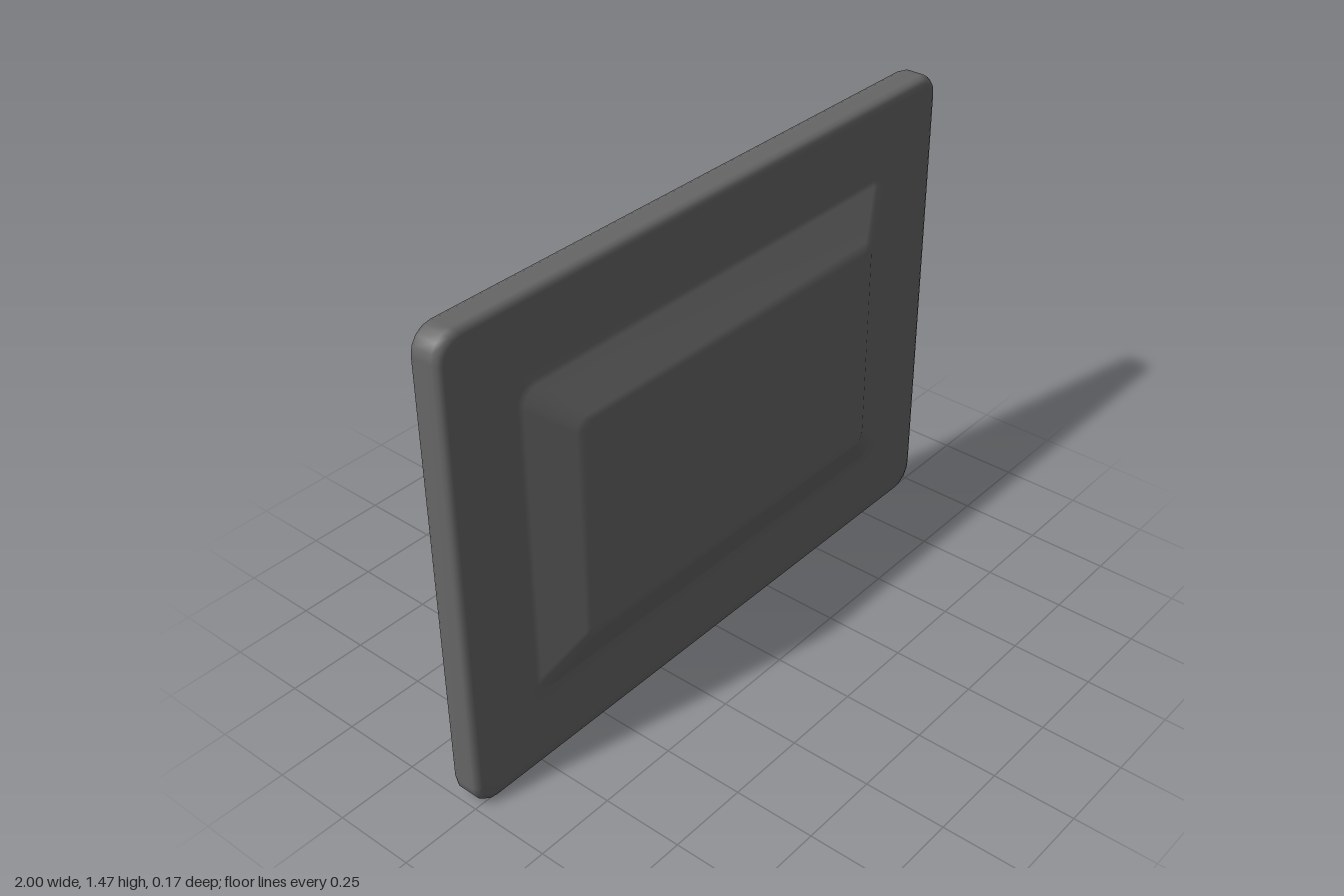
import * as THREE from 'three';

const MID_Y = 0.735;
const CORNER_STEPS = 4;

// Rounded rectangle outline, counter-clockwise seen from +z
function ring(halfW, halfH, radius, z) {
  const points = [];
  const signs = [[1, 1], [-1, 1], [-1, -1], [1, -1]];
  signs.forEach(([sx, sy], corner) => {
    for (let i = 0; i <= CORNER_STEPS; i++) {
      const a = (corner + i / CORNER_STEPS) * Math.PI / 2;
      points.push([
        sx * (halfW - radius) + Math.cos(a) * radius,
        MID_Y + sy * (halfH - radius) + Math.sin(a) * radius,
        z,
      ]);
    }
  });
  return points;
}

function makeGeometry(points, index) {
  const geometry = new THREE.BufferGeometry();
  geometry.setAttribute('position', new THREE.Float32BufferAttribute(points.flat(), 3));
  geometry.setIndex(index);
  geometry.computeVertexNormals();
  return geometry;
}

// Skin over successive outlines
function loft(rings) {
  const n = rings[0].length;
  const index = [];
  for (let k = 0; k < rings.length - 1; k++) {
    for (let i = 0; i < n; i++) {
      const j = (i + 1) % n;
      const a = k * n + i, b = (k + 1) * n + i;
      const c = (k + 1) * n + j, d = k * n + j;
      index.push(a, b, c, a, c, d);
    }
  }
  return makeGeometry(rings.flat(), index);
}

// Flat fill of one outline, facing +z or -z
function fill(outline, facing) {
  const n = outline.length;
  const index = [];
  for (let i = 0; i < n; i++) {
    const j = (i + 1) % n;
    if (facing > 0) index.push(n, i, j);
    else index.push(n, j, i);
  }
  return makeGeometry([...outline, [0, MID_Y, outline[0][2]]], index);
}

export function createModel() {
  const casing = new THREE.MeshStandardMaterial({ color: 0x666666 });
  casing.name = 'dark grey casing';
  const glass = new THREE.MeshStandardMaterial({ color: 0x7fb5bc });
  glass.name = 'pale teal screen';

  const group = new THREE.Group();
  group.name = 'flatScreenPanel';
  const add = (name, geometry, material) => {
    const mesh = new THREE.Mesh(geometry, material);
    mesh.name = name;
    group.add(mesh);
  };

  const plateau = ring(0.61, 0.34, 0.03, 0.083);
  const screenEdge = ring(0.85, 0.59, 0.06, -0.06);

  // Raised housing, rounded slab edge and screen recess as one smooth skin
  add('casing', loft([
    ring(0.59, 0.32, 0.02, 0.083),
    plateau,
    ring(0.625, 0.355, 0.035, 0.076),
    ring(0.745, 0.475, 0.05, 0.021),
    ring(0.76, 0.49, 0.055, 0.015),
    ring(0.79, 0.52, 0.06, 0.015),
    ring(0.96, 0.695, 0.05, 0.015),
    ring(0.98, 0.715, 0.06, 0.015),
    ring(0.994, 0.729, 0.068, 0.009),
    ring(1, 0.735, 0.07, -0.005),
    ring(1, 0.735, 0.07, -0.063),
    ring(0.994, 0.729, 0.068, -0.077),
    ring(0.98, 0.715, 0.06, -0.083),
    ring(0.96, 0.695, 0.05, -0.083),
    ring(0.89, 0.63, 0.08, -0.083),
    ring(0.875, 0.615, 0.075, -0.083),
    ring(0.858, 0.598, 0.065, -0.077),
    screenEdge,
  ]), casing);

  // Flat centre of the raised housing
  add('housingPlateau', fill(ring(0.59, 0.32, 0.02, 0.083), 1), casing);

  // Display surface on the far side
  add('screen', fill(screenEdge, -1), glass);

  return group;
}
